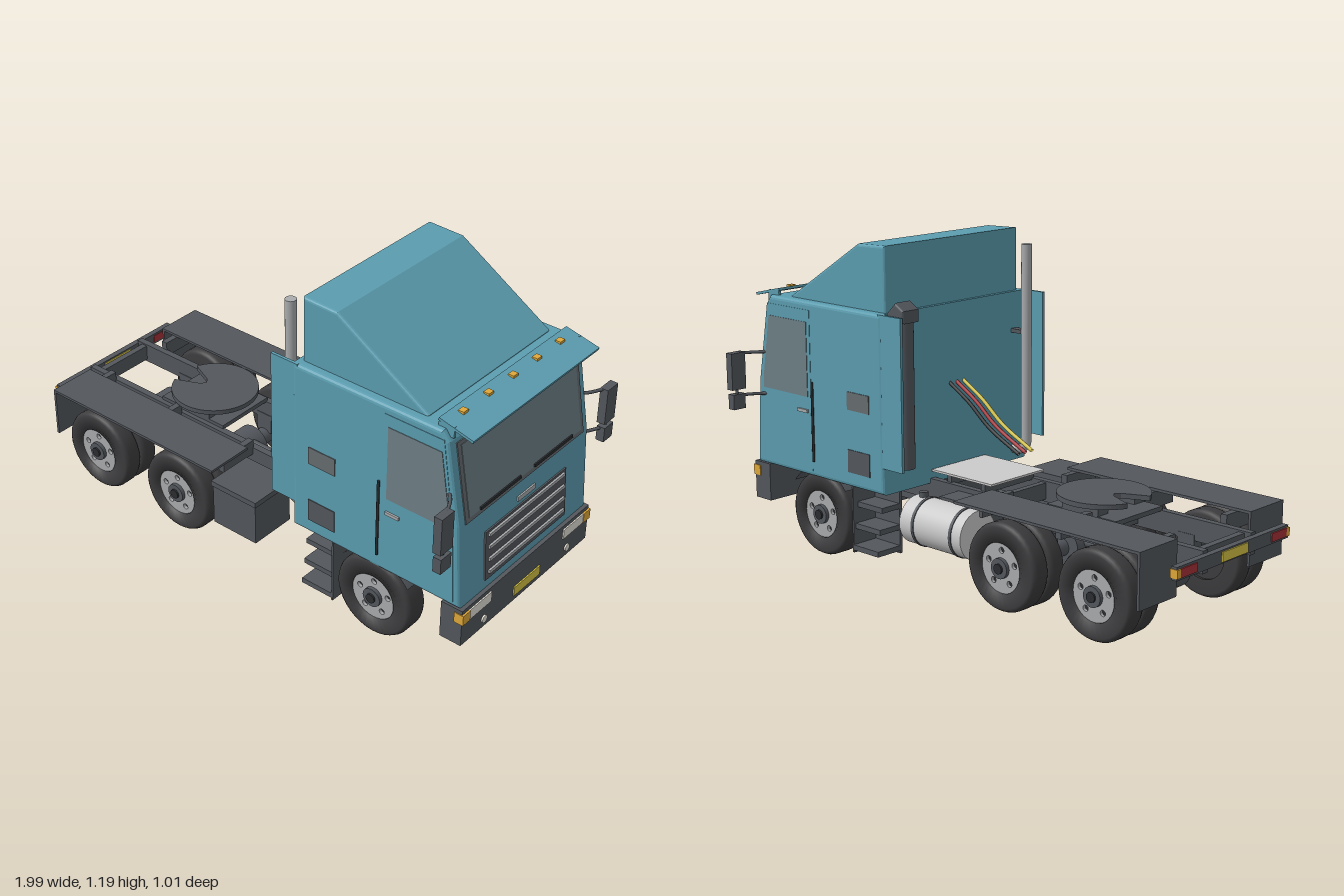
import * as THREE from 'three';

const mat = (color) => new THREE.MeshStandardMaterial({ color, side: THREE.DoubleSide });
const PAINT = mat(0x5b9db0), DARK = mat(0x53575d), TYRE = mat(0x3c3c3e), GREY = mat(0xcccccc), METAL = mat(0xa9abad);
const GLASS = mat(0x6e7f86), TRIM = mat(0x666c70), BLACK = mat(0x2b2d30), AMBER = mat(0xe0a83a);
const RED = mat(0xa83236), YELLOW = mat(0xd6c445), WHITE = mat(0xe4e0d6);

export function createModel() {
  const truck = new THREE.Group();
  truck.name = 'truck';

  const add = (name, geo, m, parent = truck) => {
    const mesh = new THREE.Mesh(geo, m);
    mesh.name = name;
    parent.add(mesh);
    return mesh;
  };
  // Box given by its extents along each axis
  const box = (name, m, x0, x1, y0, y1, z0, z1, parent = truck) => {
    const b = add(name, new THREE.BoxGeometry(x1 - x0, y1 - y0, Math.abs(z1 - z0)), m, parent);
    b.position.set((x0 + x1) / 2, (y0 + y1) / 2, (z0 + z1) / 2);
    return b;
  };
  // Cylinder along a chosen axis
  const cyl = (name, m, r, len, axis, x, y, z, parent = truck, seg = 28) => {
    const g = new THREE.CylinderGeometry(r, r, len, seg);
    if (axis === 'x') g.rotateZ(Math.PI / 2);
    if (axis === 'z') g.rotateX(Math.PI / 2);
    const c = add(name, g, m, parent);
    c.position.set(x, y, z);
    return c;
  };
  // Side profile (x, y) extruded from z0 to z1, with an inset bevel
  const profile = (name, m, pts, z0, z1, b = 0) => {
    const shape = new THREE.Shape(pts.map(p => new THREE.Vector2(...p)));
    const g = new THREE.ExtrudeGeometry(shape, {
      depth: z1 - z0 - 2 * b, bevelEnabled: b > 0, bevelSize: b, bevelThickness: b, bevelOffset: -b, bevelSegments: 3
    });
    g.translate(0, 0, z0 + b);
    return add(name, g, m);
  };
  const tube = (name, m, pts, r, seg = 16) =>
    add(name, new THREE.TubeGeometry(new THREE.CatmullRomCurve3(pts.map(p => new THREE.Vector3(...p))), seg, r, 8), m);

  // Cab, roof fairing and sun visor
  profile('cab', PAINT, [[0.265, 0.3], [0.97, 0.3], [0.95, 0.62], [0.896, 0.92], [0.87, 0.955], [0.265, 0.955]], -0.375, 0.375, 0.014);
  profile('roofFairing', PAINT, [[0.28, 0.94], [0.79, 0.94], [0.79, 0.957], [0.42, 1.187], [0.28, 1.192]], -0.34, 0.34, 0.01);
  const visor = box('sunVisor', PAINT, -0.068, 0.068, -0.005, 0.005, -0.355, 0.355);
  visor.position.set(0.905, 0.962, 0);
  visor.rotation.z = -0.23;
  for (const z of [-0.355, 0.345]) box('visorBracket', PAINT, 0.84, 0.9, 0.93, 0.97, z, z + 0.01);
  for (let i = -2; i <= 2; i++) box('markerLight', AMBER, 0.86, 0.882, 0.97, 0.982, i * 0.135 - 0.013, i * 0.135 + 0.013);

  // Windscreen and wipers lie in the sloping upper front
  const upper = new THREE.Group();
  upper.name = 'windscreen';
  upper.position.set(0.95, 0.62, 0);
  upper.rotation.z = 0.178;
  truck.add(upper);
  box('windscreenFrame', TRIM, -0.01, 0.004, -0.005, 0.29, -0.34, 0.34, upper);
  box('windscreenGlass', GLASS, 0, 0.006, 0.012, 0.276, -0.322, 0.322, upper);
  for (const s of [-1, 1]) box('wiper', BLACK, 0.004, 0.012, 0.012, 0.022, s * 0.04, s * 0.265, upper);

  // Grille in the lower front
  const lower = new THREE.Group();
  lower.name = 'grille';
  lower.position.set(0.97, 0.3, 0);
  lower.rotation.z = 0.0624;
  truck.add(lower);
  box('grillePanel', DARK, -0.01, 0.006, 0.035, 0.226, -0.235, 0.235, lower);
  for (let i = 0; i < 4; i++) box('grilleBar', METAL, 0, 0.014, 0.058 + i * 0.049, 0.07 + i * 0.049, -0.22, 0.22, lower);
  box('frontTrim', METAL, -0.01, 0.006, 0.245, 0.262, -0.05, 0.05, lower);

  // Front bumper with lights
  box('frontBumper', DARK, 0.9, 0.985, 0.155, 0.3, -0.376, 0.376);
  box('frontPlate', YELLOW, 0.98, 0.99, 0.178, 0.215, -0.077, 0.077);
  for (const s of [-1, 1]) {
    box('headlight', WHITE, 0.97, 0.99, 0.245, 0.285, s * 0.215, s * 0.338);
    box('turnSignal', AMBER, 0.955, 0.992, 0.245, 0.285, s * 0.338, s * 0.379);
    cyl('fogLight', WHITE, 0.014, 0.01, 'x', 0.986, 0.19, s * 0.248);
  }

  // Parts on both sides of the cab
  for (const s of [-1, 1]) {
    const skin = (name, m, pts, d) => profile(name, m, pts, s > 0 ? 0.37 : -0.37 - d, s > 0 ? 0.37 + d : -0.37);
    const plate = (name, m, x0, x1, y0, y1, d) => skin(name, m, [[x0, y0], [x1, y0], [x1, y1], [x0, y1]], d);
    skin('door', PAINT, [[0.648, 0.32], [0.945, 0.32], [0.928, 0.62], [0.88, 0.925], [0.648, 0.925]], 0.0065);
    skin('sideWindow', GLASS, [[0.665, 0.6], [0.917, 0.6], [0.915, 0.64], [0.875, 0.88], [0.665, 0.88]], 0.0085);
    plate('upperVent', TRIM, 0.335, 0.45, 0.588, 0.655, 0.008);
    plate('lowerVent', DARK, 0.335, 0.45, 0.355, 0.44, 0.008);
    plate('doorHandle', METAL, 0.665, 0.72, 0.54, 0.552, 0.014);
    cyl('grabRail', BLACK, 0.005, 0.3, 'y', 0.635, 0.51, s * 0.382, truck, 8);
    box('sideExtender', PAINT, 0.17, 0.285, 0.4, 0.955, s * 0.362, s * 0.373);

    // Mirrors
    for (const y of [0.735, 0.575])
      tube('mirrorArm', DARK, [[0.905, y, s * 0.37], [0.93, y, s * 0.4], [0.96, y, s * 0.46]], 0.006);
    box('mainMirror', DARK, 0.945, 0.976, 0.6, 0.74, s * 0.44, s * 0.504);
    box('wideMirror', DARK, 0.945, 0.976, 0.525, 0.582, s * 0.445, s * 0.5);
    cyl('mirrorPost', DARK, 0.006, 0.06, 'y', 0.96, 0.59, s * 0.472, truck, 8);

    // Boarding steps and front wheel arch
    box('stepBack', DARK, 0.305, 0.435, 0.05, 0.3, s * 0.25, s * 0.262);
    for (const [i, y] of [0.06, 0.14, 0.22].entries())
      box('stepTread', DARK, 0.305, 0.435, y, y + 0.02, s * 0.26, s * (0.372 - i * 0.012));
    box('frontMudflap', DARK, 0.435, 0.442, 0.05, 0.3, s * 0.25, s * 0.37);
    for (const a0 of [0.69, 2.05]) {
      const arch = add('frontFender', new THREE.CylinderGeometry(0.178, 0.178, 0.11, 12, 1, true, 0, 0.46), DARK);
      arch.geometry.rotateX(Math.PI / 2).rotateZ(a0 + Math.PI / 2 - 0.06);
      arch.position.set(0.615, 0.16, s * 0.315);
    }

    // Rear fender decks, mudflaps and chassis rails
    box('rearDeck', DARK, -0.915, -0.1, 0.35, 0.36, s * 0.2, s * 0.39);
    box('rearMudflap', DARK, -0.915, -0.905, 0.165, 0.36, s * 0.2, s * 0.39);
    for (const x of [-0.86, -0.51, -0.15]) box('deckBracket', DARK, x, x + 0.025, 0.29, 0.35, s * 0.14, s * 0.3);
    box('chassisRail', DARK, -0.975, 0.9, 0.24, 0.318, s * 0.117, s * 0.143);
    box('tailLight', RED, -1, -0.97, 0.27, 0.3, s * 0.205, s * 0.29);
    box('tailSignal', AMBER, -1, -0.97, 0.27, 0.3, s * 0.29, s * 0.308);
  }

  // Crossmembers and rear light bar
  for (const x of [-0.95, -0.5, -0.07, 0.2, 0.8]) box('crossmember', DARK, x, x + 0.025, 0.25, 0.312, -0.12, 0.12);
  box('rearLightBar', DARK, -0.995, -0.972, 0.262, 0.308, -0.305, 0.305);
  box('rearPlate', YELLOW, -1, -0.97, 0.268, 0.302, -0.07, 0.07);
  box('catwalk', GREY, -0.04, 0.26, 0.345, 0.353, -0.14, 0.14);
  for (const x of [0, 0.17]) box('catwalkSupport', DARK, x, x + 0.02, 0.31, 0.345, -0.13, 0.13);

  // Coupling plate with a V slot opening to the rear
  const plate = new THREE.Shape();
  plate.absarc(0, 0, 0.165, -Math.PI + 0.38, Math.PI - 0.38, false);
  plate.lineTo(-0.06, 0.02);
  plate.lineTo(-0.045, 0);
  plate.lineTo(-0.06, -0.02);
  const plateGeo = new THREE.ExtrudeGeometry(plate, { depth: 0.018, bevelEnabled: false, curveSegments: 32 });
  add('couplingPlate', plateGeo.rotateX(-Math.PI / 2), DARK).position.set(-0.442, 0.362, 0);
  for (const s of [-1, 1]) box('couplingSupport', DARK, -0.52, -0.36, 0.31, 0.363, s * 0.07, s * 0.125);
  box('couplingBase', DARK, -0.6, -0.29, 0.315, 0.332, -0.125, 0.125);

  // Wheels: a lathed tyre, a rim disc with holes, and a hub
  const tyreGeo = (w) => new THREE.LatheGeometry([
    [0.09, -w / 2], [0.142, -w / 2], [0.152, -w / 2 + 0.006], [0.158, -w / 2 + 0.018],
    [0.158, w / 2 - 0.018], [0.152, w / 2 - 0.006], [0.142, w / 2], [0.09, w / 2], [0.09, -w / 2]
  ].map(p => new THREE.Vector2(...p)), 36).rotateX(Math.PI / 2);
  const rim = new THREE.Shape().absarc(0, 0, 0.092, 0, Math.PI * 2);
  for (let i = 0; i < 5; i++) {
    const a = i * Math.PI * 0.4 + Math.PI / 2;
    rim.holes.push(new THREE.Path().absarc(0.062 * Math.cos(a), 0.062 * Math.sin(a), 0.011, 0, Math.PI * 2, true));
  }
  const rimGeo = new THREE.ExtrudeGeometry(rim, { depth: 0.012, bevelEnabled: false, curveSegments: 20 });
  const wheel = (x, s, dual) => {
    const g = new THREE.Group();
    g.name = dual ? 'rearWheel' : 'frontWheel';
    g.position.set(x, 0.16, 0);
    if (s < 0) g.rotation.y = Math.PI;
    truck.add(g);
    const w = dual ? 0.077 : 0.095;
    add('tyre', tyreGeo(w), TYRE, g).position.z = 0.372 - w / 2;
    if (dual) add('innerTyre', tyreGeo(0.075), TYRE, g).position.z = 0.252;
    add('rim', rimGeo, METAL, g).position.z = 0.352;
    cyl('wheelBack', TYRE, 0.092, 0.02, 'z', 0, 0, dual ? 0.235 : 0.305, g);
    cyl('rimBacking', BLACK, 0.091, 0.01, 'z', 0, 0, 0.345, g);
    cyl('hub', DARK, 0.036, 0.03, 'z', 0, 0, 0.363, g);
    cyl('hubCap', BLACK, 0.018, 0.01, 'z', 0, 0, 0.38, g);
  };
  for (const s of [-1, 1]) {
    wheel(0.615, s, false);
    wheel(-0.3, s, true);
    wheel(-0.71, s, true);
  }

  // Axles, differentials and driveline
  for (const x of [-0.71, -0.3]) {
    cyl('rearAxle', DARK, 0.032, 0.48, 'z', x, 0.16, 0);
    cyl('differential', DARK, 0.073, 0.11, 'z', x, 0.16, 0);
    for (const s of [-1, 1]) box('axleMount', DARK, x - 0.035, x + 0.035, 0.18, 0.26, s * 0.115, s * 0.16);
  }
  box('frontAxle', DARK, 0.585, 0.645, 0.135, 0.185, -0.3, 0.3);
  for (const s of [-1, 1]) box('frontSpring', DARK, 0.46, 0.77, 0.195, 0.215, s * 0.11, s * 0.15);
  cyl('driveShaft', DARK, 0.018, 0.44, 'x', -0.5, 0.18, 0);
  cyl('driveShaft', DARK, 0.018, 0.7, 'x', 0.05, 0.2, 0);
  box('engine', DARK, 0.38, 0.8, 0.2, 0.3, -0.1, 0.1);

  // Battery box on one side, fuel tank on the other
  box('batteryBox', DARK, -0.1, 0.1, 0.135, 0.31, 0.2, 0.385);
  box('batteryLid', DARK, -0.105, 0.105, 0.295, 0.316, 0.2, 0.39);
  cyl('fuelTank', GREY, 0.088, 0.3, 'x', 0.015, 0.225, -0.308, truck, 36);
  for (const x of [-0.085, 0.1]) cyl('tankStrap', DARK, 0.091, 0.012, 'x', x, 0.225, -0.308, truck, 36);
  cyl('fuelCap', DARK, 0.016, 0.025, 'y', 0.13, 0.318, -0.308);
  box('tankMount', DARK, -0.1, 0.12, 0.24, 0.3, -0.24, -0.14);

  // Exhaust stack and air intake behind the cab
  cyl('exhaustStack', METAL, 0.02, 0.76, 'y', 0.2, 0.76, 0.305);
  tube('exhaustElbow', METAL, [[0.2, 0.42, 0.305], [0.203, 0.37, 0.305], [0.23, 0.35, 0.305], [0.3, 0.345, 0.305]], 0.019);
  box('exhaustBracket', DARK, 0.2, 0.27, 0.8, 0.815, 0.29, 0.32);
  cyl('airIntake', DARK, 0.036, 0.55, 'y', 0.22, 0.675, -0.31);
  profile('intakeCap', DARK, [[0.18, 0.93], [0.265, 0.93], [0.265, 0.957], [0.222, 1.0], [0.18, 0.975]], -0.35, -0.27, 0.008);

  // Trailer hoses
  [[-0.035, BLACK], [0, RED], [0.035, YELLOW]].forEach(([z, m]) =>
    tube('trailerHose', m, [[-0.075, 0.45, z], [0.07, 0.523, z], [0.17, 0.6, z], [0.27, 0.66, z]], 0.007, 24));

  return truck;
}
